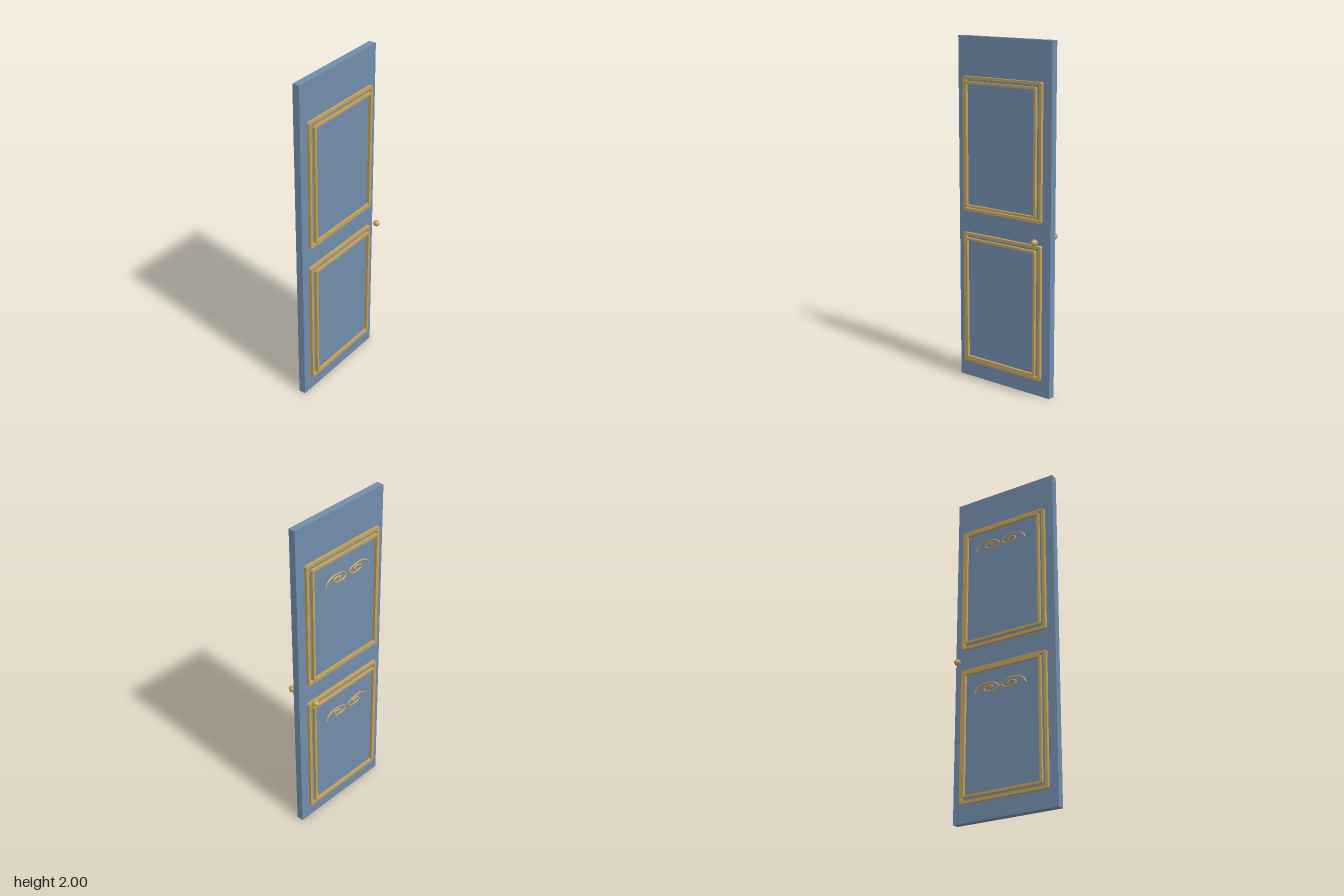
import * as THREE from 'three';

const blue = new THREE.MeshStandardMaterial({ color: 0x718cab });
blue.name = 'door blue';
const gold = new THREE.MeshStandardMaterial({ color: 0xc2a05a });
gold.name = 'gold trim';

// Rectangle outline with small chamfered corners
function outline(path, x, y0, y1, c) {
  const corners = [
    [-x + c, y0], [x - c, y0], [x, y0 + c], [x, y1 - c],
    [x - c, y1], [-x + c, y1], [-x, y1 - c], [-x, y0 + c],
  ];
  path.setFromPoints(corners.map(([px, py]) => new THREE.Vector2(px, py)));
  path.closePath();
  return path;
}

// Flat rectangular moulding between z0 and z0 + depth
function moulding(name, halfWidth, y0, y1, bar, z0, depth) {
  const shape = outline(new THREE.Shape(), halfWidth, y0, y1, 0.007);
  shape.holes.push(outline(new THREE.Path(), halfWidth - bar, y0 + bar, y1 - bar, 0.003));
  const mesh = new THREE.Mesh(
    new THREE.ExtrudeGeometry(shape, { depth, bevelEnabled: false }), gold);
  mesh.name = name;
  mesh.position.set(-0.002, 0, z0);
  return mesh;
}

// Spiral scroll; side = 1 or -1 mirrors it
function scroll(side, top) {
  const points = [
    [0.167, -0.05], [0.153, -0.023], [0.12, -0.004], [0.08, 0], [0.034, -0.009],
    [0.011, -0.029], [0.026, -0.046], [0.065, -0.053], [0.1, -0.041], [0.1, -0.025],
    [0.072, -0.018], [0.05, -0.026], [0.062, -0.034],
  ].map(([x, y]) => new THREE.Vector3(side * x, y, 0));
  const mesh = new THREE.Mesh(
    new THREE.TubeGeometry(new THREE.CatmullRomCurve3(points), 90, 0.005, 8), gold);
  mesh.name = side > 0 ? 'leftScroll' : 'rightScroll';
  mesh.position.set(-0.002, top, -0.0715);
  return mesh;
}

export function createModel() {
  const model = new THREE.Group();
  model.name = 'panelDoor';

  // Door slab
  const slab = new THREE.Mesh(new THREE.BoxGeometry(0.656, 2, 0.042), blue);
  slab.name = 'doorSlab';
  slab.position.set(0, 1, -0.001);
  model.add(slab);

  // Two stepped panel frames on each face, with scrollwork on the back
  const panels = [
    { name: 'upper', y0: 1.01, y1: 1.78, scrollTop: 1.658 },
    { name: 'lower', y0: 0.1, y1: 0.882, scrollTop: 0.755 },
  ];
  for (const { name, y0, y1, scrollTop } of panels) {
    const panel = new THREE.Group();
    panel.name = `${name}Panel`;
    panel.add(
      moulding('frontOuterMoulding', 0.278, y0, y1, 0.017, 0.026, 0.018),
      moulding('frontInnerMoulding', 0.252, y0 + 0.026, y1 - 0.026, 0.014, 0.044, 0.016),
      moulding('backOuterMoulding', 0.278, y0, y1, 0.017, -0.047, 0.018),
      moulding('backInnerMoulding', 0.252, y0 + 0.026, y1 - 0.026, 0.014, -0.063, 0.016),
      scroll(1, scrollTop),
      scroll(-1, scrollTop),
    );
    model.add(panel);
  }

  // Oval knobs
  for (const side of [1, -1]) {
    const knob = new THREE.Mesh(new THREE.SphereGeometry(0.018, 32, 20), gold);
    knob.name = side > 0 ? 'frontKnob' : 'backKnob';
    knob.scale.z = 1.17;
    knob.position.set(0.27, 0.915, side * 0.091 - 0.001);
    model.add(knob);
  }
  return model;
}
